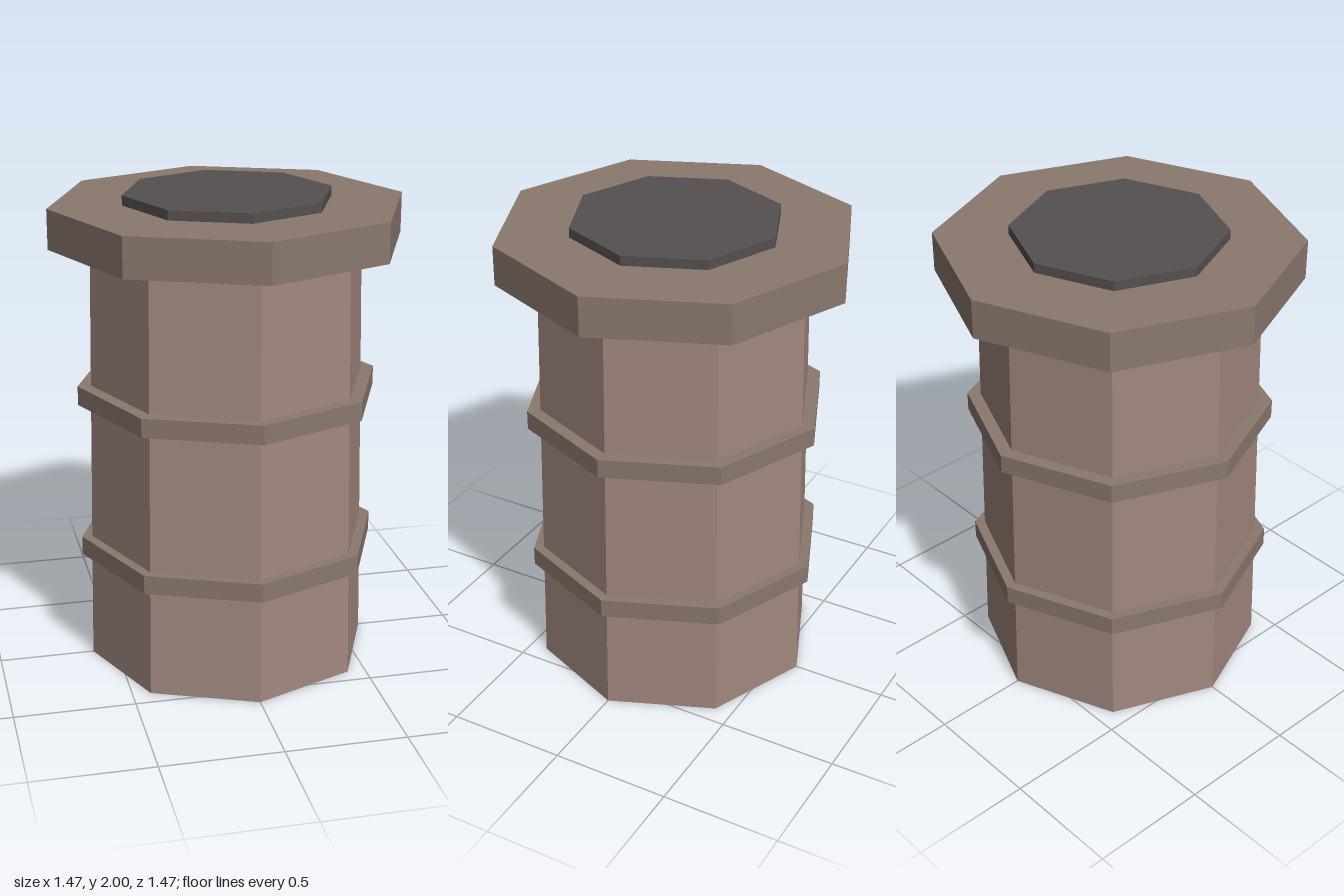
import * as THREE from 'three';

const SIDES = 8;

export function createModel() {
  const model = new THREE.Group();
  const material = (color) => new THREE.MeshStandardMaterial({ color, flatShading: true });
  const body = material(0xa1887f);
  const trim = material(0x8a786e);
  const dark = material(0x555050);

  // Octagonal solid between two heights, with a corner facing the front
  function addDrum(name, topRadius, bottomRadius, y0, y1, mat) {
    const geometry = new THREE.CylinderGeometry(topRadius, bottomRadius, y1 - y0, SIDES);
    const mesh = new THREE.Mesh(geometry, mat);
    mesh.name = name;
    mesh.position.y = (y0 + y1) / 2;
    model.add(mesh);
  }

  // Slightly tapered shaft
  addDrum('shaft', 0.567, 0.6, 0, 1.8, body);

  // Two bands around the shaft
  [['lowerBand', 0.465], ['upperBand', 1.135]].forEach(([name, y]) =>
    addDrum(name, 0.633, 0.633, y, y + 0.08, trim));

  // Overhanging rim and the dark plate on top
  addDrum('rim', 0.735, 0.735, 1.795, 1.96, trim);
  addDrum('topPlate', 0.433, 0.433, 1.93, 2, dark);

  return model;
}
